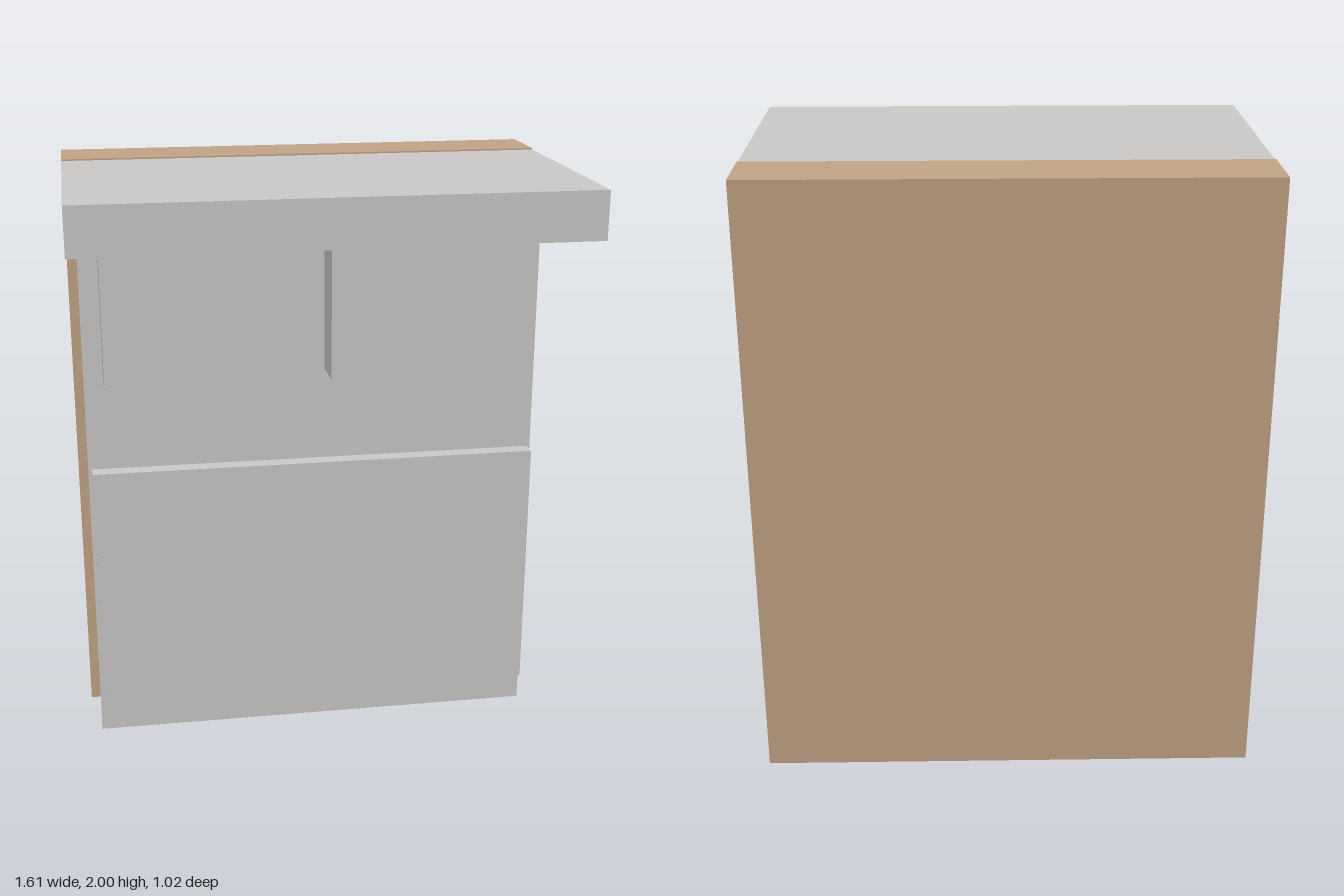
import * as THREE from 'three';

export function createModel() {
  const model = new THREE.Group();
  model.name = 'uprightBed';

  const fabric = new THREE.MeshStandardMaterial({ color: 0xc8c7c5 });
  fabric.name = 'pale grey';
  const wood = new THREE.MeshStandardMaterial({ color: 0xc0a284 });
  wood.name = 'light wood';

  // Box given by its minimum and maximum along each axis
  function block(name, material, [x0, x1], [y0, y1], [z0, z1]) {
    const mesh = new THREE.Mesh(new THREE.BoxGeometry(x1 - x0, y1 - y0, z1 - z0), material);
    mesh.position.set((x0 + x1) / 2, (y0 + y1) / 2, (z0 + z1) / 2);
    mesh.name = name;
    model.add(mesh);
  }

  // Wooden base behind the mattress
  block('bedBase', wood, [-0.803, 0.803], [0, 2], [-0.512, -0.295]);
  block('mattress', fabric, [-0.77, 0.77], [0.003, 1.842], [-0.295, -0.048]);

  // Headboard projecting forwards at the top
  block('headboard', fabric, [-0.803, 0.803], [1.842, 1.995], [-0.295, 0.512]);

  // Blanket panel, just clear of the mattress
  block('blanket', fabric, [-0.757, 0.757], [0.125, 1.002], [-0.038, 0.016]);

  // Pair of pillows
  block('leftPillow', fabric, [0.037, 0.7], [1.318, 1.785], [-0.048, 0.096]);
  block('rightPillow', fabric, [-0.705, -0.042], [1.318, 1.785], [-0.048, 0.096]);

  return model;
}
